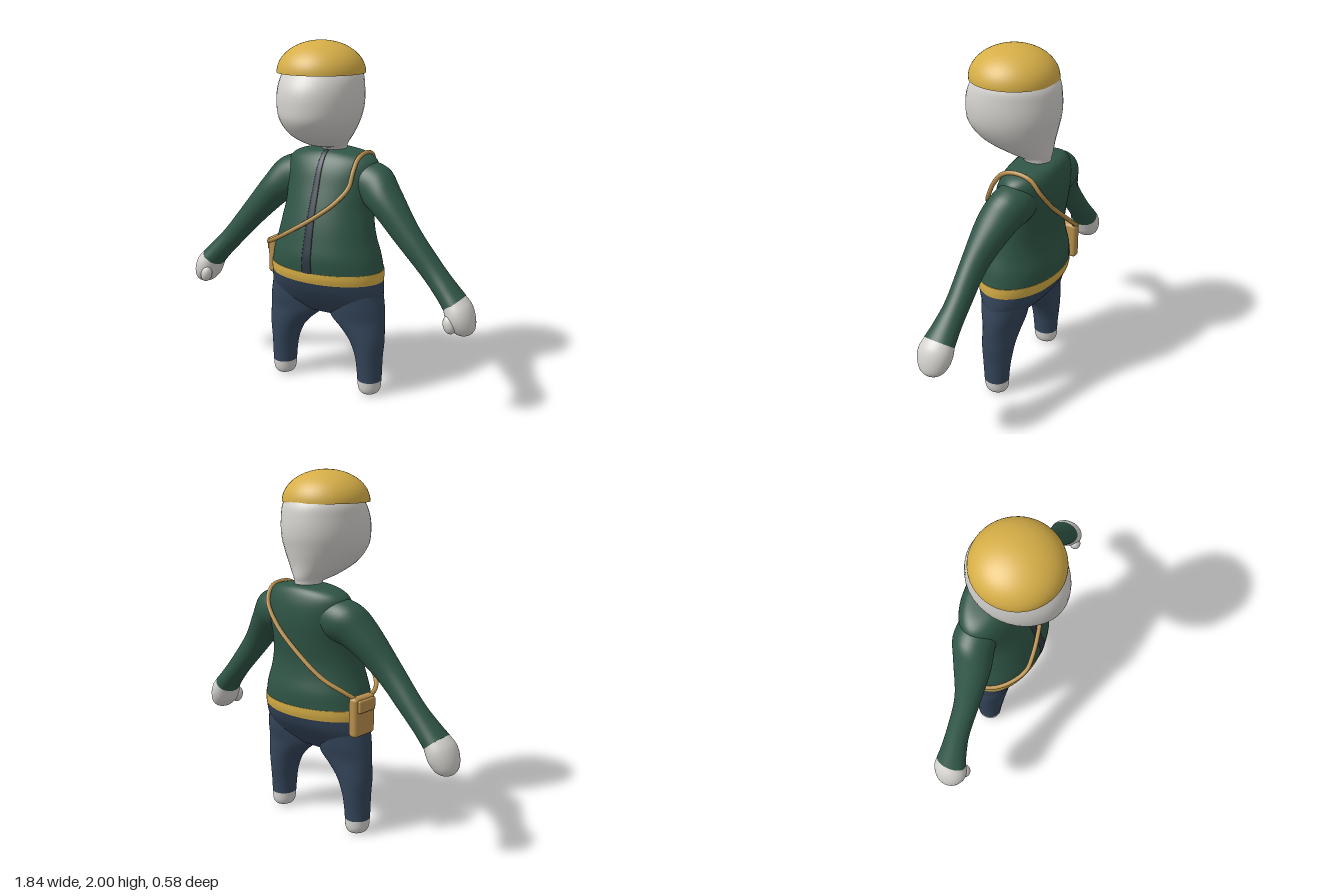
import * as THREE from 'three';
import { RoundedBoxGeometry } from 'three/addons/geometries/RoundedBoxGeometry.js';

const mat = (name, color) => {
  const m = new THREE.MeshStandardMaterial({ color });
  m.name = name;
  return m;
};

// Smooth interpolation of number rows
function sample(rows, t) {
  const n = rows.length - 1;
  const i = Math.min(Math.floor(t), n - 1), f = t - i;
  const [a, b, c, d] = [i - 1, i, i + 1, i + 2].map(k => rows[Math.max(0, Math.min(n, k))]);
  return b.map((_, k) => 0.5 * (2 * b[k] + (c[k] - a[k]) * f +
    (2 * a[k] - 5 * b[k] + 4 * c[k] - d[k]) * f * f +
    (3 * b[k] - a[k] - 3 * c[k] + d[k]) * f * f * f));
}

// Closed skin over elliptical sections [x, y, z, radius, depth radius, tilt]
function skin(rows, seg = 40, steps = 5) {
  const pos = [], idx = [];
  const rings = (rows.length - 1) * steps + 1;
  for (let r = 0; r < rings; r++) {
    const [x, y, z, ru, rz, tilt = 0] = sample(rows, r / steps);
    for (let s = 0; s < seg; s++) {
      const a = s / seg * Math.PI * 2, u = Math.cos(a) * ru;
      pos.push(x + u * Math.cos(tilt), y + u * Math.sin(tilt), z + Math.sin(a) * rz);
    }
  }
  for (let r = 0; r < rings - 1; r++) for (let s = 0; s < seg; s++) {
    const a = r * seg + s, b = r * seg + (s + 1) % seg;
    idx.push(a, a + seg, b, b, a + seg, b + seg);
  }
  // End caps have their own corners so the rims stay sharp
  for (const r of [0, rings - 1]) {
    const base = pos.length / 3, row = rows[r ? rows.length - 1 : 0];
    pos.push(row[0], row[1], row[2]);
    for (let s = 0; s < seg; s++) pos.push(...pos.slice((r * seg + s) * 3, (r * seg + s) * 3 + 3));
    for (let s = 0; s < seg; s++) {
      const a = base + 1 + s, b = base + 1 + (s + 1) % seg;
      idx.push(...(r ? [base, b, a] : [base, a, b]));
    }
  }
  // Turn the faces outward, judged by the signed volume
  let vol = 0;
  const A = new THREE.Vector3(), B = new THREE.Vector3(), C = new THREE.Vector3();
  for (let i = 0; i < idx.length; i += 3) {
    vol += A.fromArray(pos, idx[i] * 3).dot(B.fromArray(pos, idx[i + 1] * 3).cross(C.fromArray(pos, idx[i + 2] * 3)));
  }
  if (vol < 0) for (let i = 0; i < idx.length; i += 3) [idx[i], idx[i + 1]] = [idx[i + 1], idx[i]];
  const g = new THREE.BufferGeometry();
  g.setAttribute('position', new THREE.Float32BufferAttribute(pos, 3));
  g.setIndex(idx);
  g.computeVertexNormals();
  return g;
}

export function createModel() {
  const root = new THREE.Group();
  root.name = 'figure';
  const skinMat = mat('pale skin', 0xd3d1cd), green = mat('green jacket', 0x2f5546);
  const blue = mat('blue trousers', 0x34455a), yellow = mat('yellow', 0xd6ae47);
  const tan = mat('tan leather', 0xb88f4c), dark = mat('dark zip', 0x2d3842);
  const add = (name, geo, m, parent = root) => {
    const mesh = new THREE.Mesh(geo, m);
    mesh.name = name;
    parent.add(mesh);
    return mesh;
  };

  // Head and neck
  add('head', skin([
    [0, 1.37, -0.12, 0.07, 0.08], [0, 1.41, -0.12, 0.072, 0.082], [0, 1.44, -0.06, 0.1, 0.15],
    [0, 1.5, 0, 0.16, 0.215], [0, 1.58, 0.025, 0.208, 0.255], [0, 1.66, 0.023, 0.228, 0.267],
    [0, 1.75, 0.018, 0.228, 0.26], [0, 1.83, 0.005, 0.212, 0.228], [0, 1.9, 0.01, 0.15, 0.16],
    [0, 1.93, 0.01, 0.01, 0.01],
  ]), skinMat);

  // Domed cap with its flat underside
  const cap = new THREE.Group();
  cap.name = 'cap';
  cap.position.set(0, 1.83, 0.02);
  root.add(cap);
  add('capDome', new THREE.SphereGeometry(0.24, 48, 16, 0, Math.PI * 2, 0, Math.PI / 2), yellow, cap).scale.y = 0.17 / 0.24;
  add('capUnderside', new THREE.CircleGeometry(0.24, 48), yellow, cap).rotation.x = Math.PI / 2;

  // Jacket body
  const torso = [
    [0, 0.74, -0.047, 0.345, 0.228], [0, 0.82, -0.045, 0.328, 0.23], [0, 0.91, -0.045, 0.3, 0.213],
    [0, 1.0, -0.053, 0.28, 0.2], [0, 1.1, -0.075, 0.266, 0.192], [0, 1.2, -0.098, 0.272, 0.18],
    [0, 1.29, -0.113, 0.28, 0.163], [0, 1.35, -0.122, 0.262, 0.14], [0, 1.385, -0.128, 0.195, 0.115],
    [0, 1.4, -0.13, 0.085, 0.09],
  ];
  add('jacket', skin(torso, 56), green);

  // Zip strip follows the front of the jacket and widens downward
  add('zip', skin(torso.map(([, y, z, , rz]) =>
    [0, y, z + rz, 0.015 + (1.4 - y) * 0.024, 0.006]), 12), dark);

  // Belt
  add('belt', skin([
    [0, 0.68, -0.047, 0.349, 0.222], [0, 0.71, -0.047, 0.35, 0.229], [0, 0.742, -0.047, 0.348, 0.231],
  ], 56), yellow);

  // Trouser seat
  add('trouserSeat', skin([
    [0, 0.682, -0.047, 0.348, 0.22], [0, 0.62, -0.047, 0.355, 0.193], [0, 0.55, -0.043, 0.35, 0.145],
    [0, 0.5, -0.04, 0.32, 0.1], [0, 0.465, -0.04, 0.24, 0.065], [0, 0.448, -0.04, 0.1, 0.03],
  ], 56), blue);

  for (const [side, s] of [['left', 1], ['right', -1]]) {
    const flip = rows => rows.map(([x, y, z, a, b, t = 0]) => [x * s, y, z, a, b, t * s]);

    // Leg and foot
    add(side + 'Leg', skin(flip([
      [0.19, 0.64, -0.045, 0.155, 0.135], [0.2, 0.53, -0.043, 0.166, 0.122], [0.205, 0.45, -0.04, 0.168, 0.105],
      [0.237, 0.39, -0.038, 0.136, 0.099], [0.268, 0.32, -0.037, 0.104, 0.093], [0.283, 0.23, -0.036, 0.08, 0.085],
      [0.288, 0.15, -0.035, 0.073, 0.077], [0.29, 0.085, -0.035, 0.07, 0.073],
    ])), blue);
    add(side + 'Foot', skin(flip([
      [0.29, 0.088, -0.035, 0.069, 0.072], [0.29, 0.045, -0.036, 0.066, 0.071], [0.29, 0.018, -0.036, 0.057, 0.063],
      [0.29, 0.005, -0.036, 0.042, 0.047], [0.29, 0, -0.036, 0.015, 0.018],
    ])), skinMat);

    // Sleeve and hand
    add(side + 'Sleeve', skin(flip([
      [0.14, 1.25, -0.12, 0.11, 0.11, 1.35], [0.26, 1.215, -0.112, 0.124, 0.118, 0.98],
      [0.355, 1.14, -0.08, 0.098, 0.107, 0.78], [0.5, 0.98, -0.045, 0.077, 0.073, 0.72],
      [0.65, 0.815, -0.038, 0.065, 0.066, 0.72], [0.74, 0.72, -0.028, 0.064, 0.075, 0.72],
      [0.8, 0.655, -0.02, 0.068, 0.088, 0.72],
    ])), green);
    add(side + 'Hand', skin(flip([
      [0.795, 0.66, -0.02, 0.066, 0.086, 0.72], [0.825, 0.615, -0.015, 0.077, 0.097, 0.62],
      [0.845, 0.57, -0.012, 0.075, 0.093, 0.42], [0.862, 0.525, -0.012, 0.06, 0.073, 0.25],
      [0.868, 0.5, -0.012, 0.037, 0.045, 0.15], [0.87, 0.491, -0.012, 0.008, 0.01, 0.1],
    ])), skinMat);
    const thumb = add(side + 'Thumb', new THREE.SphereGeometry(0.036, 20, 14), skinMat);
    thumb.scale.set(0.95, 1.4, 0.95);
    thumb.position.set(0.805 * s, 0.56, 0.06);
    thumb.rotation.z = 0.3 * s;
  }

  // Satchel hanging at the right hip
  const bag = new THREE.Group();
  bag.name = 'satchel';
  bag.position.set(-0.374, 0.728, -0.11);
  root.add(bag);
  add('bagBody', new RoundedBoxGeometry(0.056, 0.22, 0.165, 3, 0.02), tan, bag);
  add('bagFlap', new RoundedBoxGeometry(0.02, 0.07, 0.13, 2, 0.008), tan, bag).position.set(-0.034, 0.062, 0);

  // Strap across the chest, over the left shoulder and down the back
  const path = [
    [-0.375, 0.82, -0.04], [-0.345, 0.837, 0.04], [-0.29, 0.865, 0.11], [-0.2, 0.912, 0.17], [-0.11, 0.965, 0.172],
    [0.03, 1.055, 0.145], [0.14, 1.145, 0.105], [0.195, 1.225, 0.06], [0.2, 1.3, 0.025], [0.2, 1.365, -0.03],
    [0.2, 1.388, -0.11], [0.2, 1.37, -0.2], [0.185, 1.3, -0.25], [0.1, 1.19, -0.277], [-0.05, 1.06, -0.28],
    [-0.22, 0.93, -0.255], [-0.33, 0.865, -0.205], [-0.375, 0.825, -0.16],
  ].map(p => new THREE.Vector3(...p));
  add('strap', new THREE.TubeGeometry(new THREE.CatmullRomCurve3(path), 120, 0.0125, 8), tan);

  return root;
}
